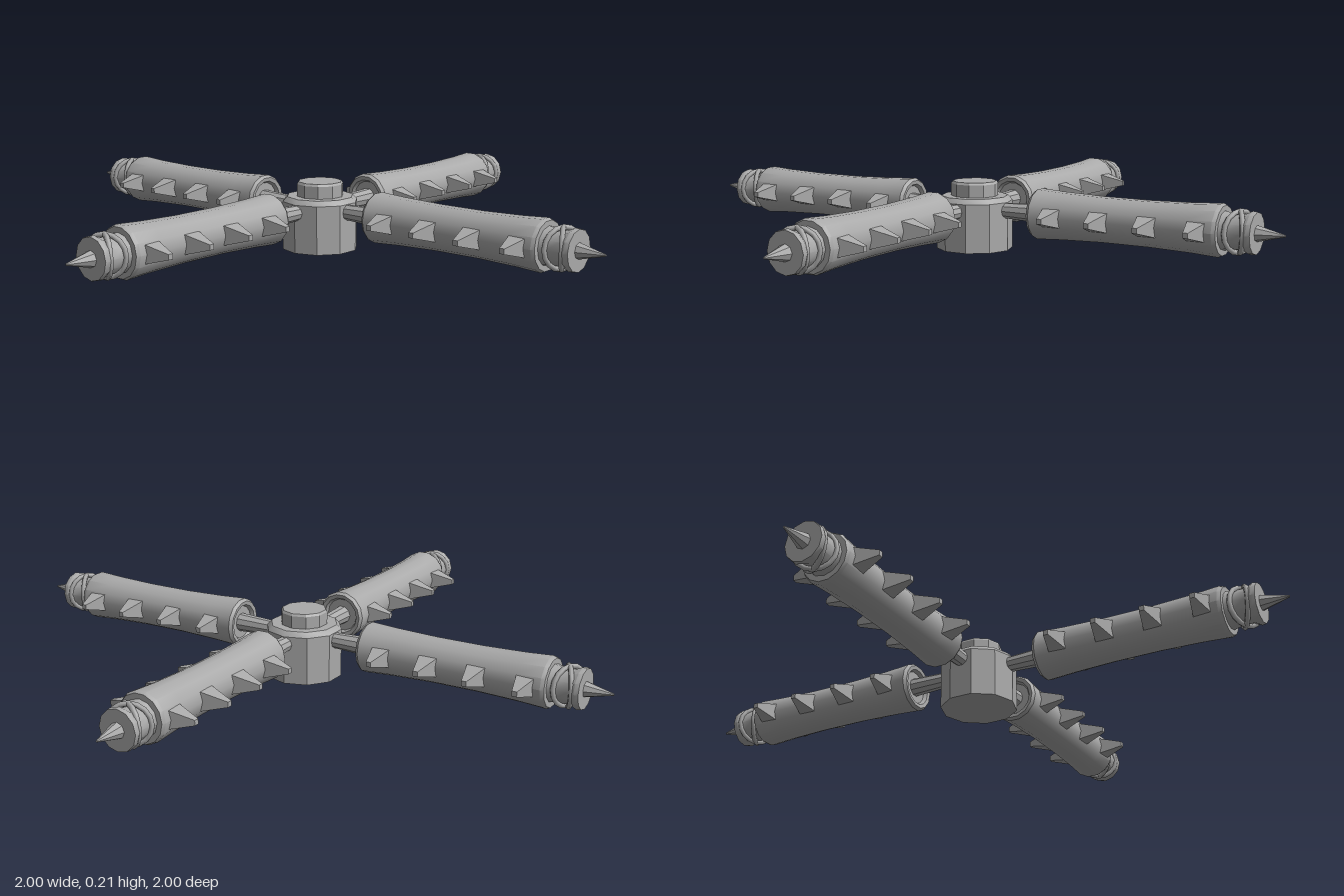
import * as THREE from 'three';
import { toCreasedNormals } from 'three/addons/utils/BufferGeometryUtils.js';

const metal = new THREE.MeshStandardMaterial({ color: 0xaaaaaa });
metal.name = 'grey metal';

function part(name, geometry, parent) {
  const mesh = new THREE.Mesh(geometry, metal);
  mesh.name = name;
  parent.add(mesh);
  return mesh;
}

// Turned solid from [radius, height] pairs, bottom to top
function turned(profile, sides, crease = 0.6) {
  const points = profile.map(([r, y]) => new THREE.Vector2(r, y));
  return toCreasedNormals(new THREE.LatheGeometry(points, sides), crease);
}

// One arm, built pointing along +x
function createArm() {
  const arm = new THREE.Group();
  arm.name = 'arm';
  const shaft = new THREE.Group();
  shaft.name = 'shaft';
  shaft.rotation.z = -Math.PI / 2; // local y runs outwards
  arm.add(shaft);

  part('rod', turned([[0, 0.06], [0.022, 0.06], [0.029, 0.24], [0, 0.24]], 10), shaft);

  // Waisted sleeve with bevelled rims
  part('sleeve', turned([
    [0, 0.235], [0.052, 0.235], [0.058, 0.224], [0.07, 0.222], [0.077, 0.232],
    [0.072, 0.32], [0.068, 0.45], [0.068, 0.6], [0.072, 0.73],
    [0.077, 0.812], [0.072, 0.823], [0, 0.823],
  ], 14), shaft);

  // Flared collar behind the point
  part('collar', turned([
    [0, 0.815], [0.058, 0.815], [0.052, 0.845], [0.052, 0.885],
    [0.062, 0.905], [0.06, 0.918], [0, 0.918],
  ], 12), shaft);

  part('tip', turned([[0, 0.9], [0.028, 0.9], [0.022, 0.925], [0.003, 1], [0, 1]], 8), shaft);

  // Two crossed bindings around the collar
  for (const side of [-1, 1]) {
    const binding = part('binding', new THREE.TorusGeometry(0.059, 0.008, 6, 16), arm);
    binding.position.x = 0.868;
    binding.rotation.y = Math.PI / 2 + side * 0.48;
  }

  // Square spikes along both sides
  const spikeShape = new THREE.CylinderGeometry(0.011, 0.043, 0.085, 4);
  spikeShape.rotateY(Math.PI / 4);
  const spikeGeometry = toCreasedNormals(spikeShape, 0.5);
  for (const side of [-1, 1]) {
    for (let i = 0; i < 4; i++) {
      const spike = part('spike', spikeGeometry, arm);
      spike.position.set(0.305 + i * 0.153, 0, side * 0.0975);
      spike.rotation.x = side * Math.PI / 2;
    }
  }
  return arm;
}

export function createModel() {
  const model = new THREE.Group();
  model.name = 'spikedRotor';

  // Ten-sided hub and cap, with corners on the x axis
  const hub = part('hub', turned([
    [0, 0], [0.118, 0], [0.118, 0.15], [0.104, 0.165], [0, 0.165],
  ], 10, 0.5), model);
  hub.rotation.y = Math.PI / 2;
  const cap = part('cap', turned([
    [0, 0.16], [0.073, 0.16], [0.073, 0.203], [0.068, 0.21], [0, 0.21],
  ], 10, 0.5), model);
  cap.rotation.y = Math.PI / 2;

  for (let i = 0; i < 4; i++) {
    const arm = createArm();
    arm.position.y = 0.125;
    arm.rotation.y = i * Math.PI / 2;
    model.add(arm);
  }
  return model;
}
